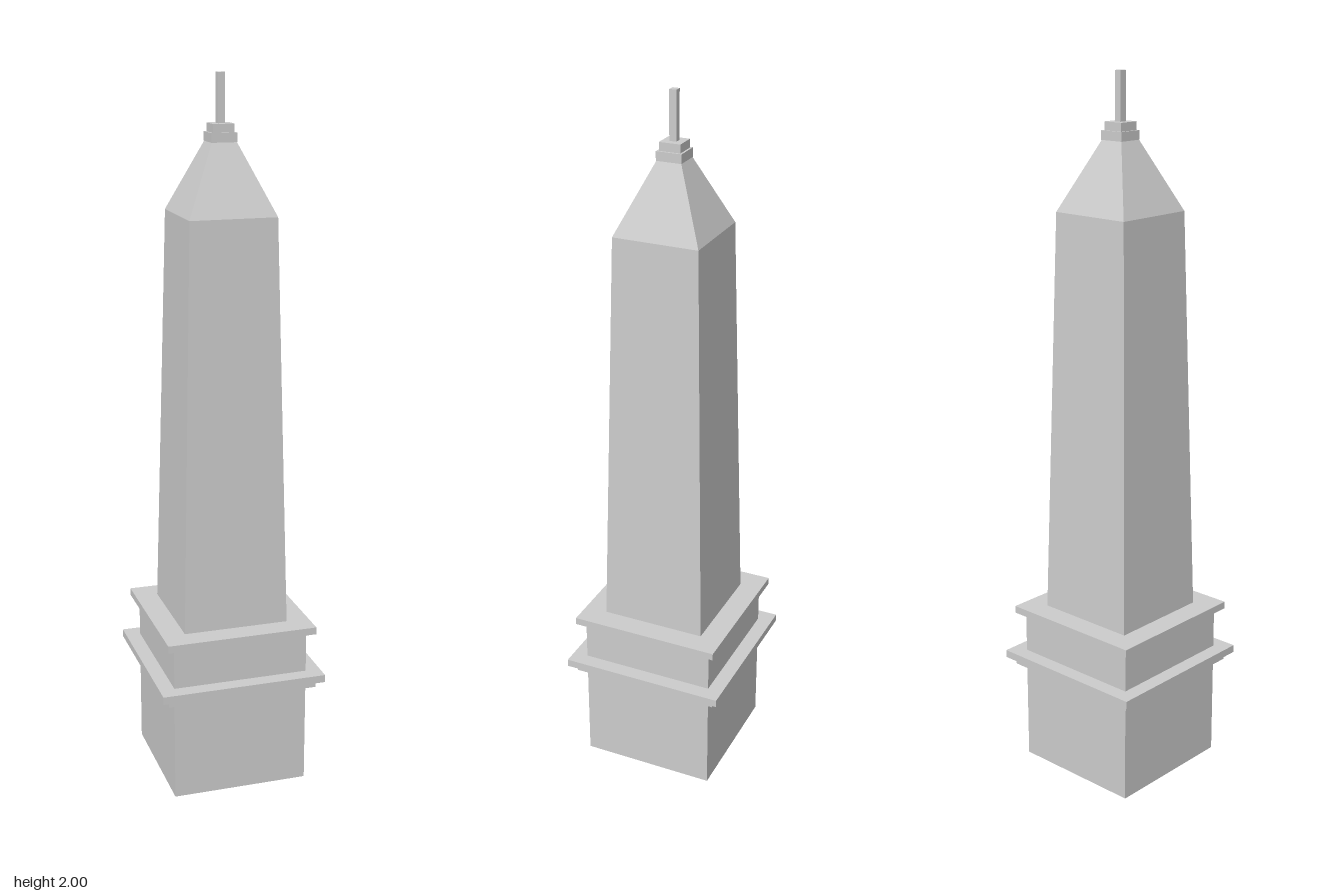
import * as THREE from 'three';

const material = new THREE.MeshStandardMaterial({ color: 0xcccccc, flatShading: true });

// Square block from y0 to y1, with half widths at the bottom and the top
function block(name, y0, y1, bottom, top = bottom) {
  const geometry = new THREE.BoxGeometry(2, y1 - y0, 2);
  const p = geometry.attributes.position;
  for (let i = 0; i < p.count; i++) {
    const half = p.getY(i) > 0 ? top : bottom;
    p.setX(i, p.getX(i) * half);
    p.setZ(i, p.getZ(i) * half);
  }
  geometry.translate(0, (y0 + y1) / 2, 0);
  geometry.computeVertexNormals();
  const mesh = new THREE.Mesh(geometry, material);
  mesh.name = name;
  return mesh;
}

export function createModel() {
  const model = new THREE.Group();
  model.name = 'obelisk';
  model.add(
    // Pedestal with its stepped ledges
    block('pedestalBase', 0, 0.295, 0.195),
    block('lowerLedgeStep', 0.295, 0.317, 0.217),
    block('lowerLedge', 0.317, 0.339, 0.238),
    block('pedestalUpperBlock', 0.339, 0.459, 0.195),
    block('upperLedge', 0.459, 0.48, 0.217),
    // Tapered shaft and its pyramid tip
    block('shaft', 0.48, 1.63, 0.151, 0.122),
    block('pyramidTip', 1.63, 1.822, 0.122, 0.034),
    // Finial
    block('finialBase', 1.82, 1.845, 0.036),
    block('finialStep', 1.845, 1.868, 0.03),
    block('finialRod', 1.868, 2, 0.01),
  );
  return model;
}
